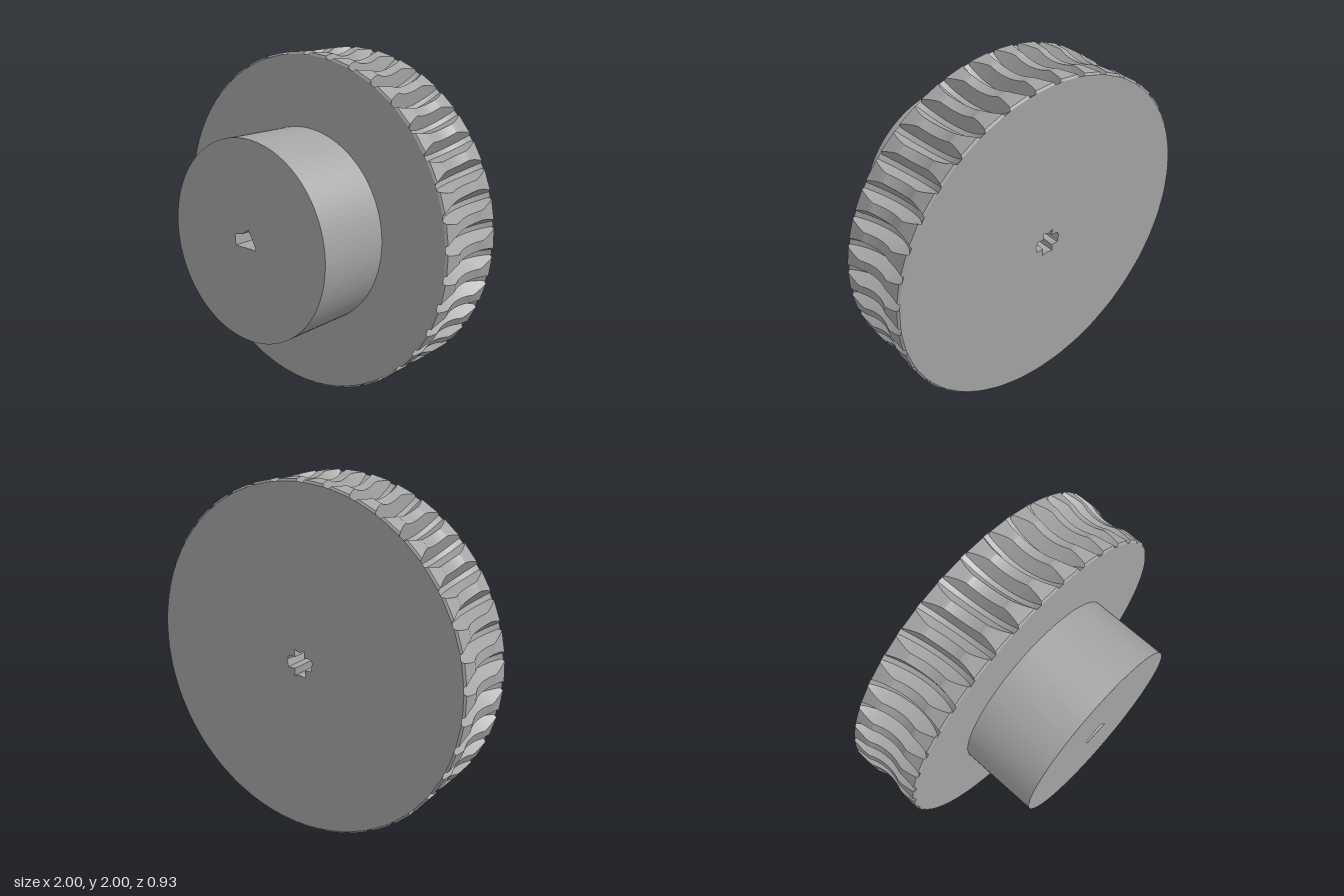
import * as THREE from 'three';

const TEETH = 38;
const WIDTH = 0.465;     // face width of the wheel, also the hub length
const AXIS = 1.26;       // distance from wheel axis to worm axis
const ROWS = 20;

const material = () => new THREE.MeshStandardMaterial({ color: 0xa5a5a5, flatShading: true });

// Disc with a polygonal bore, extruded towards +z from z0
function boredDisc(radius, bore, z0) {
  const shape = new THREE.Shape().absarc(0, 0, radius, 0, Math.PI * 2);
  shape.holes.push(new THREE.Path(bore.map(([x, y]) => new THREE.Vector2(x, y))));
  const geo = new THREE.ExtrudeGeometry(shape, { depth: WIDTH, bevelEnabled: false, curveSegments: 48 });
  return geo.translate(0, 0, z0);
}

// One cross-section of the toothed rim: four corners for each tooth gap
function rimSection(z, tipLimit) {
  const dz = z + WIDTH / 2;
  const throat = Math.abs(dz) < 0.117 ? AXIS - Math.sqrt(0.285 ** 2 - dz * dz) : 1;
  const tip = Math.min(throat, tipLimit);
  const floor = Math.min(AXIS - Math.sqrt(0.358 ** 2 - dz * dz), tip);
  const bottom = 0.015;
  const top = bottom + 0.53 * (throat - floor);
  const twist = -0.1 * dz;
  const points = [];
  for (let t = 0; t < TEETH; t++) {
    const mid = ((t + 0.5) / TEETH) * Math.PI * 2 + twist;
    for (const [offset, r] of [[-top, tip], [-bottom, floor], [bottom, floor], [top, tip]]) {
      points.push([r * Math.cos(mid + offset), r * Math.sin(mid + offset), z]);
    }
  }
  return points;
}

// Throated rim with slanted worm gaps, closed by flat rings on both faces
function rimGeometry() {
  const sections = [];
  const edge = 0.008;
  sections.push(rimSection(0, 0.85), rimSection(0, 0.988));
  for (let i = 0; i <= ROWS; i++) {
    sections.push(rimSection(-edge - (WIDTH - 2 * edge) * (i / ROWS), 1));
  }
  sections.push(rimSection(-WIDTH, 0.988), rimSection(-WIDTH, 0.85));

  const n = TEETH * 4;
  const index = [];
  for (let i = 0; i < sections.length - 1; i++) {
    for (let j = 0; j < n; j++) {
      const k = (j + 1) % n;
      const a = i * n + j, b = i * n + k, c = a + n, d = b + n;
      index.push(a, c, b, b, c, d);
    }
  }
  const geo = new THREE.BufferGeometry();
  geo.setAttribute('position', new THREE.Float32BufferAttribute(sections.flat(2), 3));
  geo.setIndex(index);
  geo.computeVertexNormals();
  return geo;
}

export function createModel() {
  const model = new THREE.Group();
  model.name = 'wormWheel';
  const add = (name, geometry) => {
    const mesh = new THREE.Mesh(geometry, material());
    mesh.name = name;
    mesh.position.y = 1;
    model.add(mesh);
  };

  // Cross-shaped bore in the wheel, house-shaped bore in the hub
  const crossBore = [
    [-0.075, -0.03], [-0.035, -0.03], [-0.04, -0.075], [0, -0.065], [0.035, -0.075], [0.03, -0.03], [0.075, -0.03],
    [0.085, 0.01], [0.07, 0.04], [0.03, 0.035], [0.035, 0.08], [0, 0.065], [-0.035, 0.08], [-0.03, 0.04],
    [-0.07, 0.04], [-0.085, 0.02],
  ];
  const hubBore = [
    [-0.08, -0.03], [0.08, -0.03], [0.05, 0.03], [0.02, 0.075], [-0.025, 0.045], [-0.085, 0.035],
  ];

  add('toothedRim', rimGeometry());
  add('wheelCore', boredDisc(0.852, crossBore, -WIDTH));
  add('hub', boredDisc(0.58, hubBore, 0));
  return model;
}
